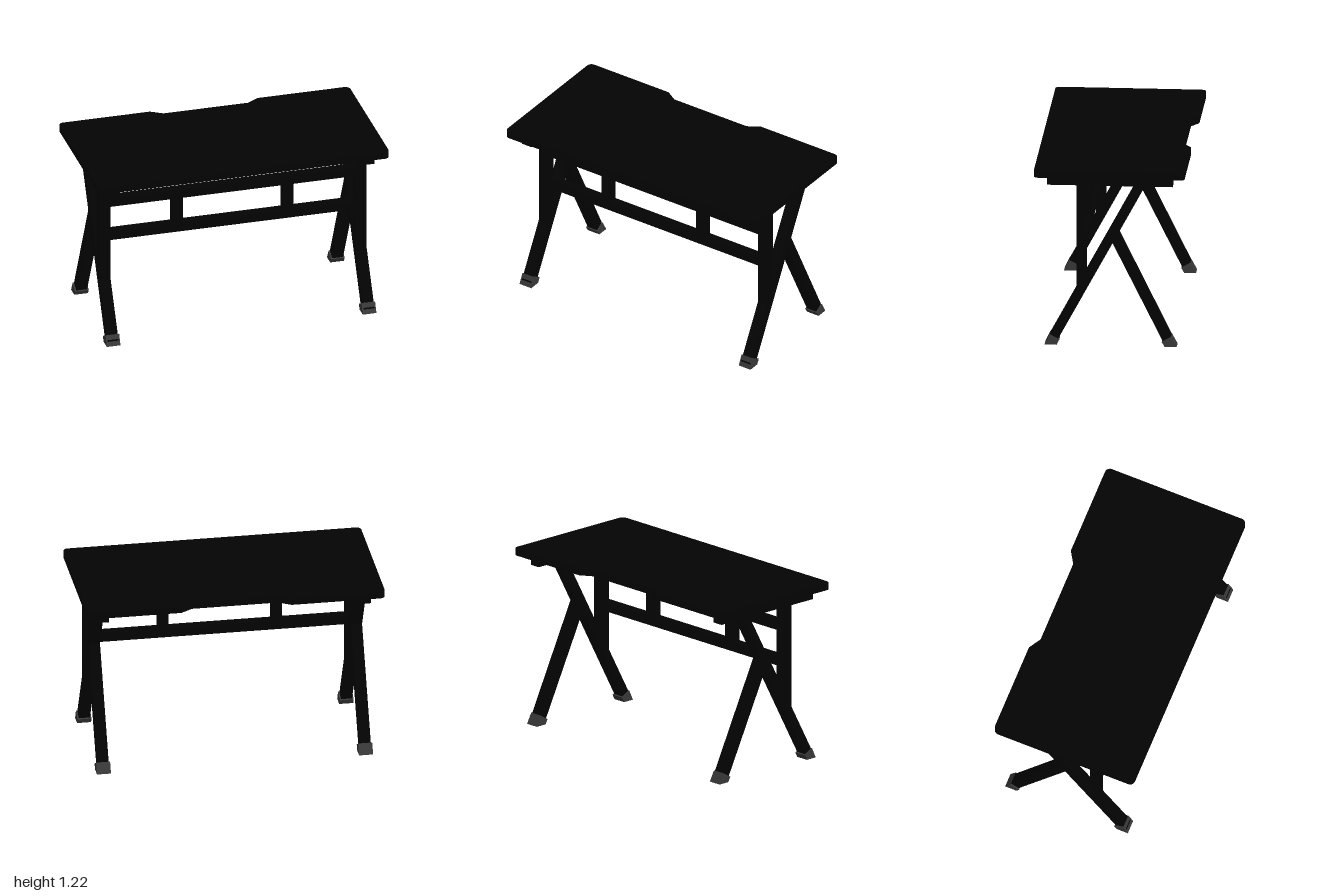
import * as THREE from 'three';

const frameMat = new THREE.MeshStandardMaterial({ color: 0x030303 });
const footMat = new THREE.MeshStandardMaterial({ color: 0x383838 });

const LEG_X = 0.88, LEG_W = 0.075;
const TOP_Y = 1.217, PLATE_Y = 1.205, RIM_Y = 1.17, RIM_W = 0.014;

function mesh(name, geo, mat = frameMat) {
  const m = new THREE.Mesh(geo, mat);
  m.name = name;
  return m;
}

// Box given by its centre and size
function box(name, x, y, z, w, h, d) {
  return mesh(name, new THREE.BoxGeometry(w, h, d).translate(x, y, z));
}

// Side profile of [z, y] points, extruded across x about the centre
function sideProfile(name, pts, width, mat) {
  const shape = new THREE.Shape(pts.map(([z, y]) => new THREE.Vector2(z, y)));
  const geo = new THREE.ExtrudeGeometry(shape, { depth: width, bevelEnabled: false });
  geo.translate(0, 0, -width / 2).rotateY(-Math.PI / 2);
  return mesh(name, geo, mat);
}

// Desk outline with rounded corners and a cable notch in the back edge
function outline(inset) {
  const c = 0.035, r = c - inset, q = Math.PI / 2;
  const s = new THREE.Shape();
  s.absarc(1 - c, -0.5 + c, r, -q, 0);
  s.absarc(1 - c, 0.5 - c, r, 0, q);
  s.lineTo(0.37, 0.5 - inset);
  s.lineTo(0.29, 0.45 - inset);
  s.lineTo(-0.29, 0.45 - inset);
  s.lineTo(-0.37, 0.5 - inset);
  s.absarc(-1 + c, 0.5 - c, r, q, 2 * q);
  s.absarc(-1 + c, -0.5 + c, r, 2 * q, 3 * q);
  return s;
}

// Flat layer of the desk top between two heights
function layer(name, shape, bottom, top) {
  const geo = new THREE.ExtrudeGeometry(shape, { depth: top - bottom, bevelEnabled: false, curveSegments: 8 });
  geo.rotateX(-Math.PI / 2).translate(0, bottom, 0);
  return mesh(name, geo);
}

// One leg frame: top rail, upright, long slanted leg, short rear leg, two feet
function legFrame(name) {
  const g = new THREE.Group();
  g.name = name;
  const longZ = (y) => -0.197 + 0.543 * (1.1 - y);
  const rearZ = (y) => -0.405 + 0.493 * y;
  const h = 0.0355;

  g.add(box('topRail', 0, (1.1 + PLATE_Y) / 2, 0, LEG_W, PLATE_Y - 1.1, 0.835));
  g.add(sideProfile('upright', [[0.157, 0.51], [0.222, 0.39], [0.222, 1.1], [0.157, 1.1]], LEG_W));
  g.add(sideProfile('longLeg', [
    [longZ(0.03) - h, 0.03], [longZ(0.03) + h, 0.03],
    [longZ(1.1) + h, 1.1], [longZ(1.1) - h, 1.1],
  ], LEG_W));
  g.add(sideProfile('rearLeg', [
    [rearZ(0.03) - h, 0.03], [rearZ(0.03) + h, 0.03],
    [-0.016, 0.71], [-0.02, 0.78], [-0.058, 0.776],
  ], LEG_W));
  g.add(sideProfile('frontFoot', [[0.353, 0], [0.433, 0], [0.4, 0.07], [0.335, 0.035]], 0.094, footMat));
  g.add(sideProfile('rearFoot', [[-0.444, 0], [-0.365, 0], [-0.345, 0.033], [-0.406, 0.07]], 0.094, footMat));
  return g;
}

export function createModel() {
  const model = new THREE.Group();
  model.name = 'desk';

  // Top plate with a rim and a centre rib on its hollow underside
  const rim = outline(0);
  rim.holes.push(outline(RIM_W));
  model.add(layer('deskTop', outline(0), PLATE_Y, TOP_Y));
  model.add(layer('deskRim', rim, RIM_Y, PLATE_Y));
  model.add(box('centreRib', 0, (RIM_Y + PLATE_Y) / 2, 0.025, 0.02, PLATE_Y - RIM_Y, 0.93));

  // Stretcher with two bars
  for (const [name, y] of [['upperBar', 0.957], ['lowerBar', 0.711]]) {
    model.add(box(name, 0, y, 0.19, 2 * (LEG_X - LEG_W / 2), 0.064, 0.064));
  }

  // Leg frames and the short posts between the bars
  for (const side of [1, -1]) {
    const label = side > 0 ? 'left' : 'right';
    const frame = legFrame(label + 'LegFrame');
    frame.position.x = side * LEG_X;
    model.add(frame);
    model.add(box(label + 'Post', side * 0.38, 0.834, 0.19, 0.07, 0.184, 0.064));
  }
  return model;
}
